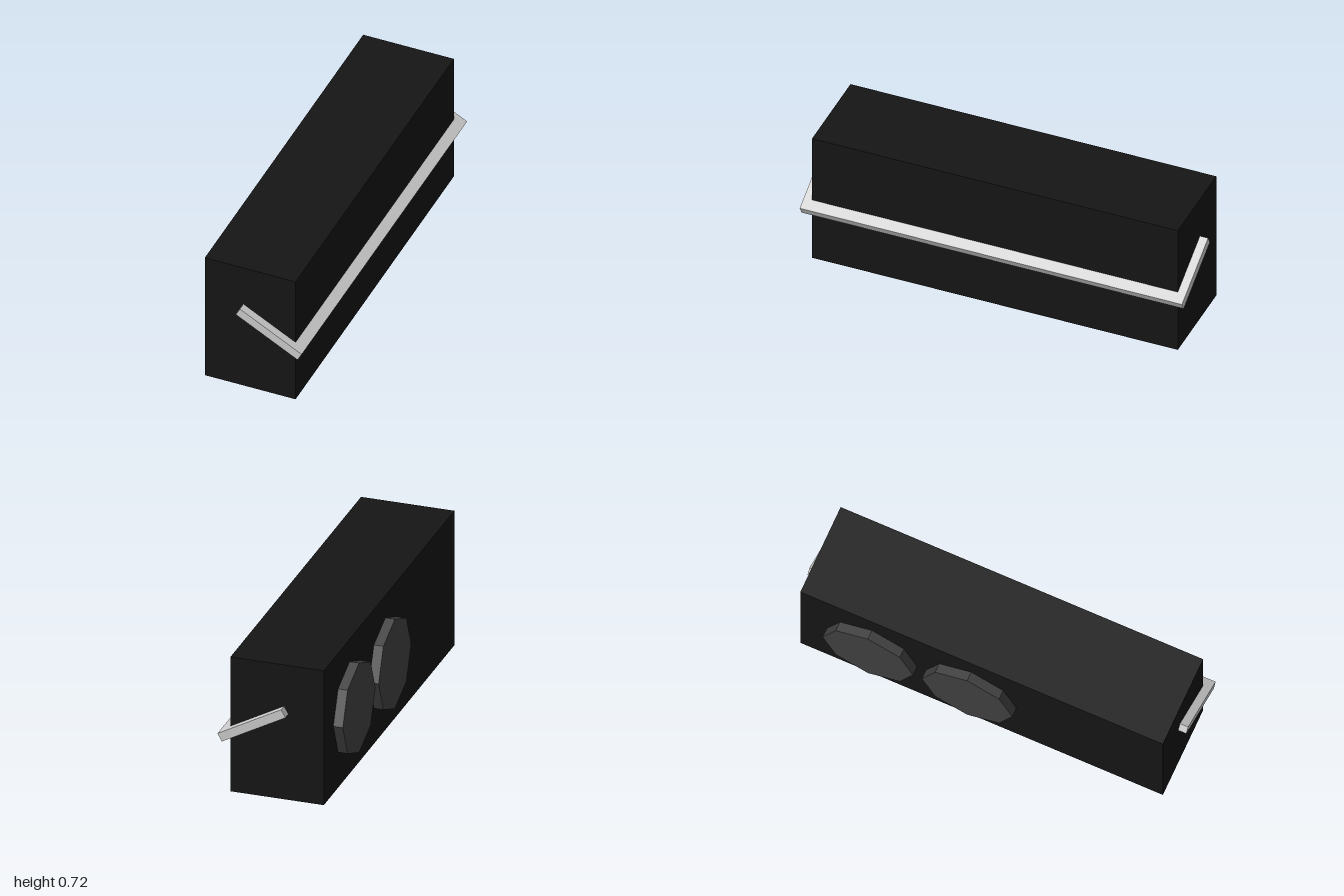
import * as THREE from 'three';

const material = (color) => new THREE.MeshStandardMaterial({ color, flatShading: true });

export function createModel() {
  const model = new THREE.Group();
  const add = (name, geometry, mat, x, y, z) => {
    const mesh = new THREE.Mesh(geometry, mat);
    mesh.name = name;
    mesh.position.set(x, y, z);
    model.add(mesh);
    return mesh;
  };

  // Main box
  add('body', new THREE.BoxGeometry(0.477, 0.716, 1.914), material(0x151515), -0.002, 0.358, 0);

  // Two octagonal discs on the right side, one corner pointing up
  const discMaterial = material(0x404040);
  const disc = new THREE.CylinderGeometry(0.239, 0.239, 0.07, 8).rotateZ(Math.PI / 2);
  [['backDisc', -0.579], ['middleDisc', -0.055]].forEach(([name, z]) =>
    add(name, disc, discMaterial, -0.254, 0.358, z));

  // U-shaped handle wrapping three sides, sloping down to the left side
  const u = 0.185, inner = 0.09, arm = 0.94, thickness = 0.0455;
  const outline = new THREE.Shape([
    [-u, -1], [u, -1], [u, 1], [-u, 1],
    [-u, arm], [inner, arm], [inner, -arm], [-u, -arm],
  ].map(([x, y]) => new THREE.Vector2(x, y)));
  const handle = new THREE.ExtrudeGeometry(outline, { depth: thickness, bevelEnabled: false })
    .translate(0, 0, -thickness / 2)
    .rotateX(Math.PI / 2)
    .rotateZ(-0.498);
  add('handle', handle, material(0xcccccc), 0.114, 0.388, 0);

  return model;
}
